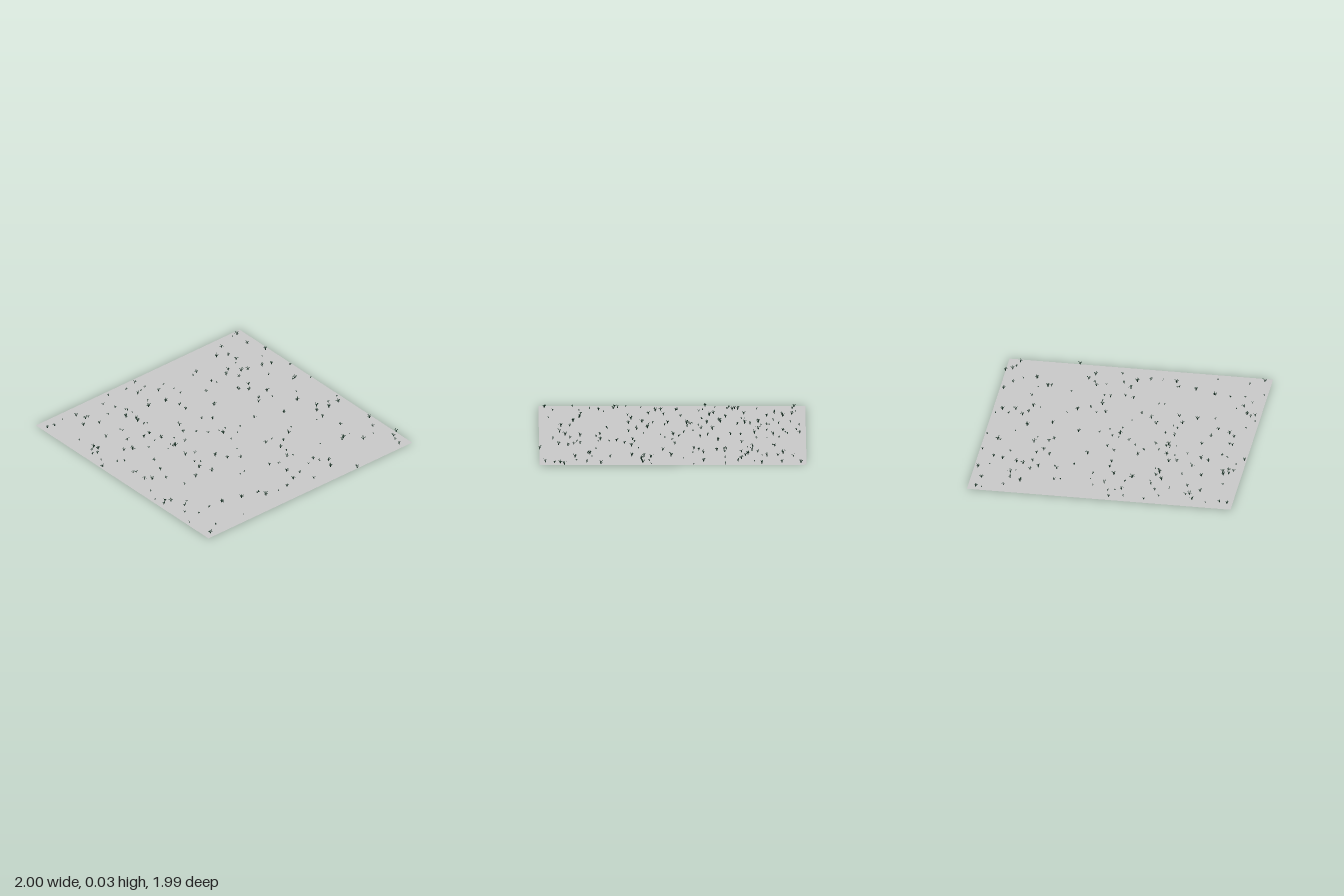
import * as THREE from 'three';
import { mergeGeometries } from 'three/addons/utils/BufferGeometryUtils.js';

// Small seeded random generator
function seeded(seed) {
  return () => {
    seed = (seed * 1664525 + 1013904223) % 4294967296;
    return seed / 4294967296;
  };
}

// x, z of the large tufts, in hundredths
const LARGE = [
  92, -95, 90, -81, -69, -89, -66, -82, -73, -76, 61, -82, 69, -78, 70, -70,
  -1, -75, -6, -61, -20, -64, -42, -64, -37, -58, -39, -54, 51, -59, 63, -56,
  68, -54, 79, -51, 95, -66, -86, -49, -85, -45, -61, -40, -72, -31, -66, -28,
  -43, -36, -49, -35, -19, -30, 18, -34, 51, -33, 60, -23, 87, -23, 46, -16,
  -98, -25, -40, -26, -39, -11, -1, -1, 30, -2, 69, 1, 51, 7, -41, 3,
  -68, 6, -85, 8, -81, 12, 91, 22, 71, 21, 75, 16, 81, 23, 69, 30,
  36, 30, -25, 18, -44, 22, -20, 26, -54, 30, -40, 32, -12, 32, 19, 41,
  -89, 43, -85, 54, 15, 53, 95, 53, 63, 61, 73, 72, -61, 68, -46, 73,
  2, 68, -1, 79, 35, 77, 31, 84, 98, 80, 93, 83, 89, 94, -94, 94,
  45, 98, -30, 82,
];

// One tapered blade that rises, then arches outwards
function blade(reach, height, width, angle) {
  const stations = [[0.05, 0, 0.6], [0.3, 0.65, 1], [0.65, 1, 0.8], [1, 0.85, 0.08]];
  const positions = [], index = [];
  stations.forEach(([out, up, wide], i) => {
    for (const side of [-1, 1]) {
      positions.push(out * reach, up * height, side * wide * width / 2);
    }
    if (i > 0) {
      const a = 2 * (i - 1);
      index.push(a, a + 1, a + 2, a + 1, a + 3, a + 2);
    }
  });
  const geometry = new THREE.BufferGeometry();
  geometry.setAttribute('position', new THREE.Float32BufferAttribute(positions, 3));
  geometry.setIndex(index);
  geometry.rotateY(angle);
  geometry.computeVertexNormals();
  return geometry;
}

// A ring of arching blades of uneven length
function tuft(x, z, size, random) {
  const count = 5 + Math.floor(random() * 3);
  const turn = random() * Math.PI * 2;
  const blades = [];
  for (let i = 0; i < count; i++) {
    const angle = turn + (i + (random() - 0.5) * 0.5) * Math.PI * 2 / count;
    const reach = size * (0.014 + random() * 0.009);
    const height = size * (0.018 + random() * 0.015);
    blades.push(blade(reach, height, size * 0.006, angle));
  }
  return mergeGeometries(blades).translate(x, 0, z);
}

export function createModel() {
  const group = new THREE.Group();
  const random = seeded(17);

  // Flat square of ground
  const ground = new THREE.Mesh(
    new THREE.PlaneGeometry(1.975, 1.975).rotateX(-Math.PI / 2),
    new THREE.MeshStandardMaterial({ color: 0xcccccc, side: THREE.DoubleSide }),
  );
  ground.name = 'ground';
  ground.position.set(-0.008, 0.001, -0.004);
  group.add(ground);

  // Large tufts in place, smaller ones scattered between them
  const large = [], small = [];
  for (let i = 0; i < LARGE.length; i += 2) {
    large.push(tuft(LARGE[i] / 100, LARGE[i + 1] / 100, 0.9 + random() * 0.15, random));
  }
  for (let i = 0; i < 125; i++) {
    const x = (random() * 2 - 1) * 0.97, z = (random() * 2 - 1) * 0.97;
    small.push(tuft(x, z, 0.4 + random() * 0.45, random));
  }
  const grass = new THREE.MeshStandardMaterial({ color: 0x1e3a2c, side: THREE.DoubleSide });
  for (const [name, tufts] of [['largeGrassTufts', large], ['smallGrassTufts', small]]) {
    const mesh = new THREE.Mesh(mergeGeometries(tufts), grass);
    mesh.name = name;
    group.add(mesh);
  }
  return group;
}
